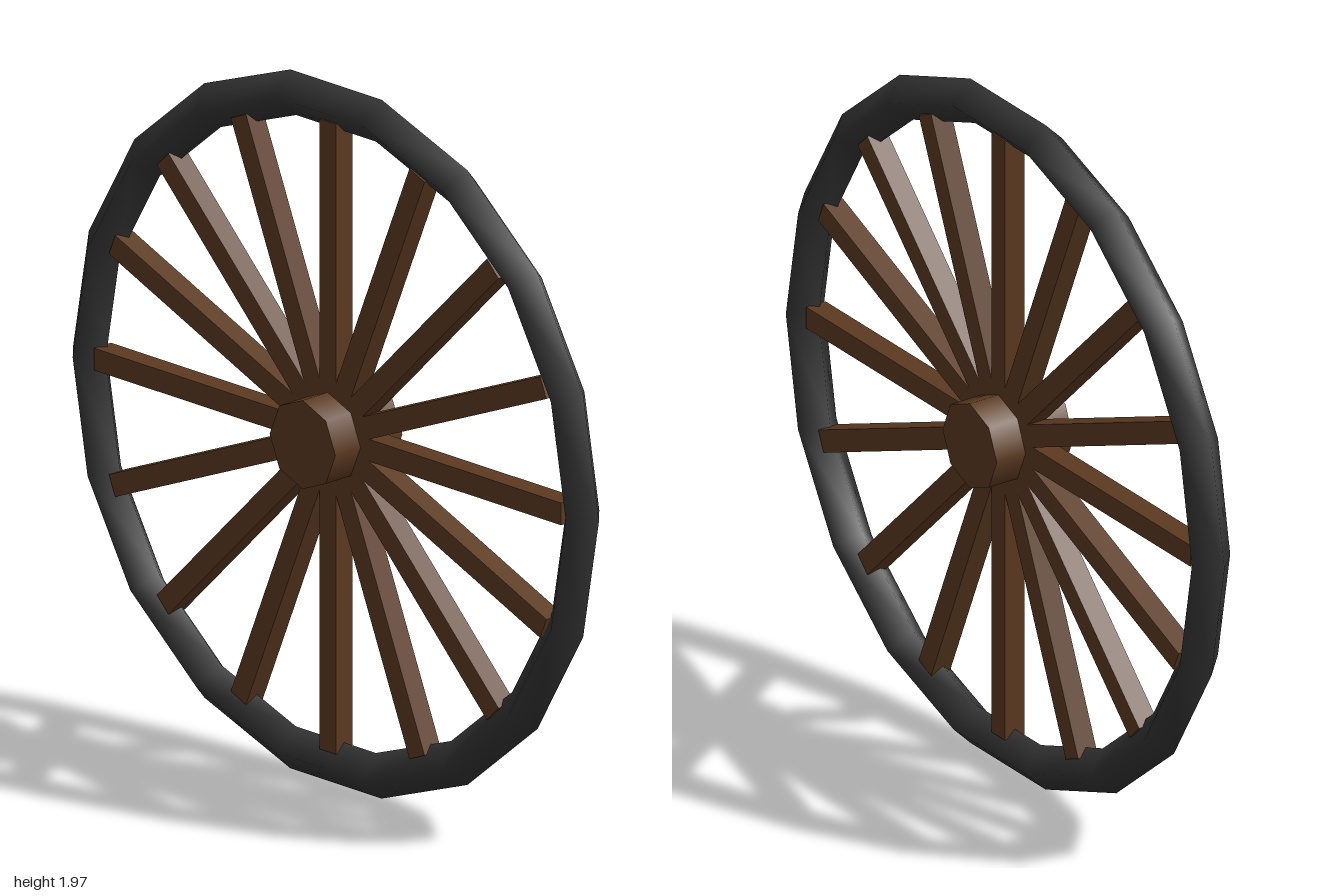
import * as THREE from 'three';

const wood = new THREE.MeshStandardMaterial({ color: 0x5c3a21 });
const iron = new THREE.MeshStandardMaterial({ color: 0x333333 });

const RIM_RADIUS = 0.9375;
const RIM_THICKNESS = 0.0625;
const SPOKE_LENGTH = 0.8875;
const SPOKE_COUNT = 16;

function addPart(parent, name, geometry, material) {
  const mesh = new THREE.Mesh(geometry, material);
  mesh.name = name;
  parent.add(mesh);
  return mesh;
}

export function createModel() {
  const wheel = new THREE.Group();
  wheel.name = 'wheel';

  // Rim: 18-sided ring with a diamond section
  addPart(wheel, 'rim', new THREE.TorusGeometry(RIM_RADIUS, RIM_THICKNESS, 4, 18), iron);

  // Hub: short octagonal drum along z
  const hub = addPart(wheel, 'hub', new THREE.CylinderGeometry(0.125, 0.125, 0.25, 8), wood);
  hub.rotation.x = Math.PI / 2;

  // Spokes: square bars running through the hub, each making two opposite spokes
  const spokes = new THREE.Group();
  spokes.name = 'spokes';
  const bar = new THREE.BoxGeometry(SPOKE_LENGTH * 2, 0.0625, 0.0625);
  for (let i = 0; i < SPOKE_COUNT / 2; i++) {
    addPart(spokes, 'spokePair', bar, wood).rotation.z = (i * 2 * Math.PI) / SPOKE_COUNT;
  }
  wheel.add(spokes);

  // Stand the wheel on the ground: the lowest rim edge is flat
  wheel.position.y = (RIM_RADIUS + RIM_THICKNESS) * Math.cos(Math.PI / 18);

  const model = new THREE.Group();
  model.name = 'spokedWheel';
  model.add(wheel);
  return model;
}
